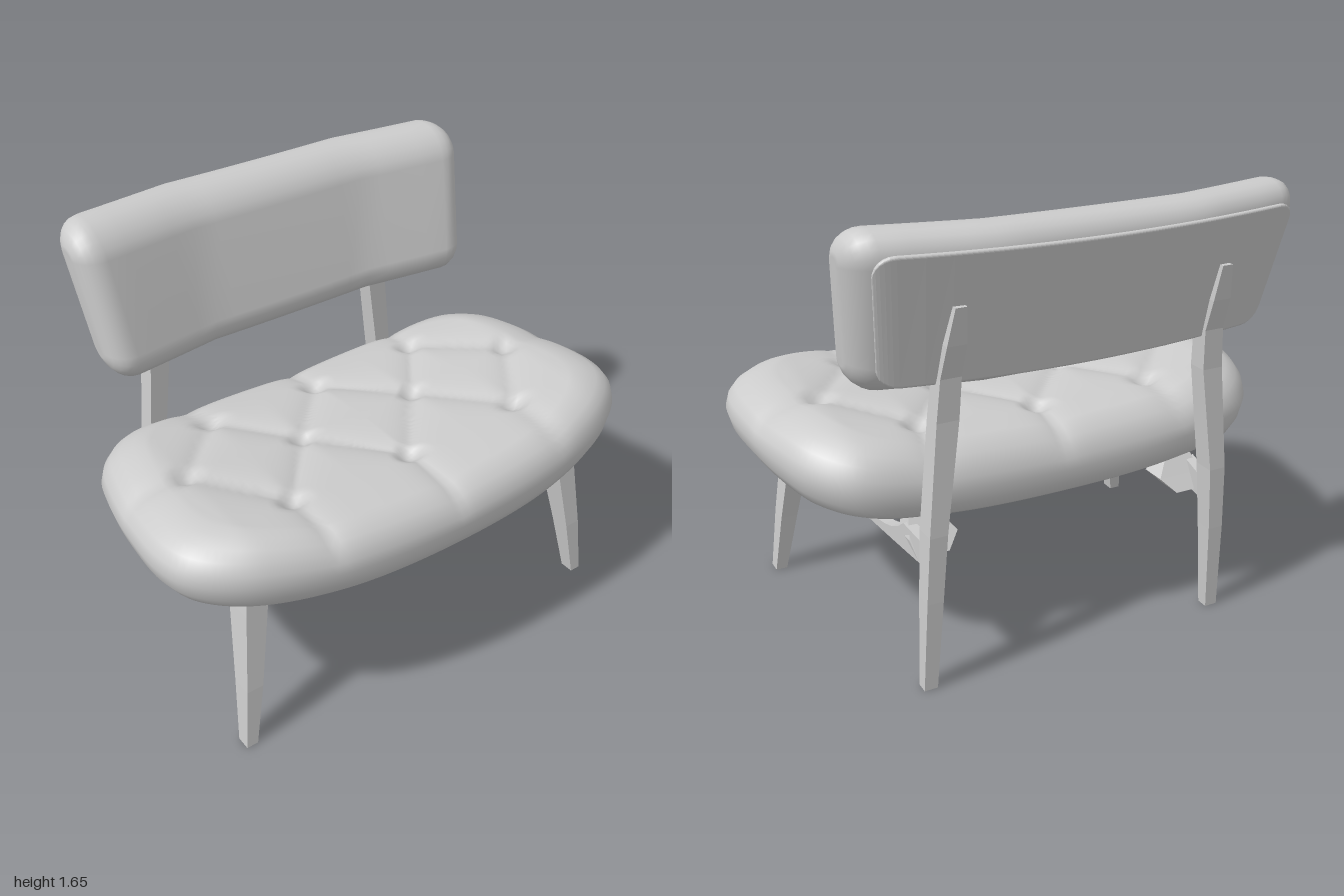
import * as THREE from 'three';

const soft = new THREE.MeshStandardMaterial({ color: 0xcccccc, side: THREE.DoubleSide });
const faceted = new THREE.MeshStandardMaterial({ color: 0xcccccc, flatShading: true, side: THREE.DoubleSide });

// Skin a list of equal-length rings of [x, y, z] points and close both ends
function loft(rings) {
  const n = rings[0].length, pos = rings.flat(2), idx = [];
  for (let j = 0; j < rings.length - 1; j++) {
    for (let i = 0; i < n; i++) {
      const a = j * n + i, b = j * n + (i + 1) % n;
      idx.push(a, b, a + n, b, b + n, a + n);
    }
  }
  [rings[0], rings[rings.length - 1]].forEach((ring, end) => {
    const c = pos.length / 3, base = end ? (rings.length - 1) * n : 0;
    for (let k = 0; k < 3; k++) pos.push(ring.reduce((sum, p) => sum + p[k], 0) / n);
    for (let i = 0; i < n; i++) {
      const a = base + i, b = base + (i + 1) % n;
      if (end) idx.push(a, b, c); else idx.push(b, a, c);
    }
  });
  const g = new THREE.BufferGeometry();
  g.setAttribute('position', new THREE.Float32BufferAttribute(pos, 3));
  g.setIndex(idx);
  g.computeVertexNormals();
  return g;
}

function part(parent, name, geometry, material) {
  const m = new THREE.Mesh(geometry, material);
  m.name = name;
  parent.add(m);
  return m;
}

// Diamond tufting: three rows of buttons joined by diagonal creases
const rows = [
  { z: -0.22, xs: [-0.47, 0, 0.47] },
  { z: 0.06, xs: [-0.73, -0.25, 0.26, 0.73] },
  { z: 0.37, xs: [-0.5, 0, 0.5] },
];
const buttons = rows.flatMap(r => r.xs.map(x => [x, r.z]));
const creases = [];
for (const [x, z] of buttons) {
  for (const [u, w] of buttons) if (w > z && Math.hypot(u - x, w - z) < 0.45) creases.push([x, z, u, w]);
}
[-0.5, 0, 0.5].forEach(x => creases.push([x, 0.37, x, 0.68], [x * 0.94, -0.22, x, -0.44]));
[-1, 1].forEach(s => creases.push([s * 0.73, 0.06, s, 0.04]));

function tuft(x, z) {
  let d = 0;
  for (const [bx, bz] of buttons) d = Math.max(d, 0.05 * Math.exp(-((x - bx) ** 2 + (z - bz) ** 2) / 0.003));
  for (const [ax, az, bx, bz] of creases) {
    const dx = bx - ax, dz = bz - az;
    const t = THREE.MathUtils.clamp(((x - ax) * dx + (z - az) * dz) / (dx * dx + dz * dz), 0, 1);
    d = Math.max(d, 0.024 * Math.exp(-Math.hypot(x - ax - t * dx, z - az - t * dz) / 0.055));
  }
  return d;
}

// Seat: plan outline scaled through a rounded edge profile of [scale, height fraction]
function seatGeometry() {
  const half = [[0.5, 0.655], [0.82, 0.56], [0.96, 0.44], [0.998, 0.32], [0.99, 0.1],
    [0.955, -0.12], [0.9, -0.28], [0.78, -0.4], [0.5, -0.45]];
  const plan = [[0, 0.685], ...half, [0, -0.46], ...half.map(([x, z]) => [-x, z]).reverse()];
  const outline = new THREE.CatmullRomCurve3(plan.map(([x, z]) => new THREE.Vector3(x, 0, z)), true)
    .getSpacedPoints(180).slice(0, 180);
  const profile = [[0.4, 0], [0.91, 0], [0.955, 0.08], [0.985, 0.25], [1, 0.48], [0.988, 0.66], [0.96, 0.81], [0.92, 0.91], [0.87, 0.97]];
  for (let s = 0.83; s > 0.02; s -= 0.025) profile.push([s, 1]);
  return loft(profile.map(([s, f]) => outline.map(p => {
    const x = p.x * s, z = 0.1 + (p.z - 0.1) * s;
    const back = Math.min(z + 0.1, 0), front = Math.max(z - 0.35, 0);
    const top = 0.862 + 0.045 * Math.min(1, (x / 0.75) ** 2) + 0.04 * z - 0.45 * back * back - 0.35 * front * front;
    const bottom = 0.585 + 0.06 * z + 0.07 * x * x;
    return [x, bottom + (top - bottom) * f - tuft(x, z) * Math.max(0, (f - 0.4) / 0.6), z];
  })));
}

// Leaning slab with rounded rim; zAt gives its plan curve, flare widens the top
function backSlab(halfW, halfH, halfT, r, flare, midY, zAt) {
  // Stations along the width: [x, inset of the section]
  const rim = [];
  for (let k = 0; k <= 6; k++) {
    const a = k / 6 * Math.PI / 2;
    rim.push([-halfW + r * (1 - Math.cos(a)), r * Math.min(0.9, 1 - Math.sin(a))]);
  }
  const middle = [];
  for (let k = 1; k < 16; k++) middle.push([(halfW - r) * (k / 8 - 1), 0]);
  const stations = [...rim, ...middle, ...rim.map(([x, i]) => [-x, i]).reverse()];
  return loft(stations.map(([x, inset]) => {
    const h = halfH - inset, t = halfT * (1 - 0.85 * inset / r), c = t * 0.9, ring = [];
    const lift = 0.012 * (x / halfW) ** 2;
    // Corners: front top, front bottom, back bottom, back top
    [[1, 1], [1, -1], [-1, -1], [-1, 1]].forEach(([sz, sy], q) => {
      for (let k = 0; k <= 5; k++) {
        const a = Math.PI / 2 * (1 - q - k / 5);
        const y = sy * (h - c) + c * Math.sin(a), z = sz * (t - c) + c * Math.cos(a);
        ring.push([x * (1 + flare * y / halfH), midY + lift + y, zAt(x) + z - 0.25 * y]);
      }
    });
    return ring;
  }));
}

// Tapered bar through rectangular sections of [x, y, z, width, depth]
function bar(sections, side) {
  return loft(sections.map(([x, y, z, w, d]) => [[-1, 1], [1, 1], [1, -1], [-1, -1]]
    .map(([i, k]) => [x * side + i * w / 2, y, z + k * d / 2])));
}

// Scooped side rail, drawn from front to back
function railGeometry() {
  const s = new THREE.Shape();
  s.moveTo(-0.39, 0.525);
  s.quadraticCurveTo(0.05, 0.475, 0.52, 0.455);
  s.lineTo(0.52, 0.54);
  s.lineTo(0.38, 0.565);
  s.bezierCurveTo(0.28, 0.47, 0.12, 0.51, 0, 0.515);
  s.bezierCurveTo(-0.15, 0.53, -0.22, 0.56, -0.28, 0.61);
  s.lineTo(-0.39, 0.62);
  return new THREE.ExtrudeGeometry(s, { depth: 0.04, bevelEnabled: false, curveSegments: 8 }).translate(0, 0, -0.02);
}

export function createModel() {
  const chair = new THREE.Group();
  chair.name = 'loungeChair';
  part(chair, 'seatCushion', seatGeometry(), soft);

  // Back cushion with forward-angled wings, and its thin curved shell
  const wing = x => -0.508 + 0.075 * Math.max(0, (Math.abs(x) - 0.36) / 0.45);
  part(chair, 'backCushion', backSlab(0.815, 0.282, 0.122, 0.1, 0.035, 1.355, wing), soft);
  const shellCurve = x => -0.63 + 0.055 * (x / 0.75) ** 2;
  part(chair, 'backShell', backSlab(0.75, 0.23, 0.012, 0.07, 0.03, 1.345, shellCurve), faceted);

  // Frame, mirrored left and right
  for (const side of [1, -1]) {
    const name = side > 0 ? 'left' : 'right';
    part(chair, name + 'FrontLeg', bar([
      [0.8, 0, 0.495, 0.045, 0.055], [0.765, 0.25, 0.465, 0.065, 0.08],
      [0.72, 0.56, 0.415, 0.085, 0.11], [0.708, 0.645, 0.405, 0.085, 0.11]], side), faceted);
    part(chair, name + 'RearLeg', bar([
      [0.592, 0, -0.54, 0.05, 0.045], [0.575, 0.35, -0.545, 0.06, 0.07], [0.56, 0.6, -0.545, 0.065, 0.085],
      [0.515, 1, -0.54, 0.08, 0.075], [0.505, 1.15, -0.55, 0.075, 0.07],
      [0.5, 1.27, -0.595, 0.07, 0.06], [0.495, 1.4, -0.635, 0.04, 0.03]], side), faceted);
    const rail = part(chair, name + 'SideRail', railGeometry(), faceted);
    rail.rotation.y = Math.PI / 2 + 0.13 * side;
    rail.position.x = 0.63 * side;
    // Bracket carrying the back of the seat
    part(chair, name + 'SeatBracket', bar([
      [0.53, 0.47, -0.42, 0.12, 0.1], [0.51, 0.52, -0.38, 0.18, 0.1], [0.53, 0.59, -0.35, 0.1, 0.05]], side), faceted);
  }
  const rail = part(chair, 'frontRail', new THREE.BoxGeometry(1.36, 0.09, 0.04), faceted);
  rail.position.set(0, 0.565, 0.4);
  return chair;
}
